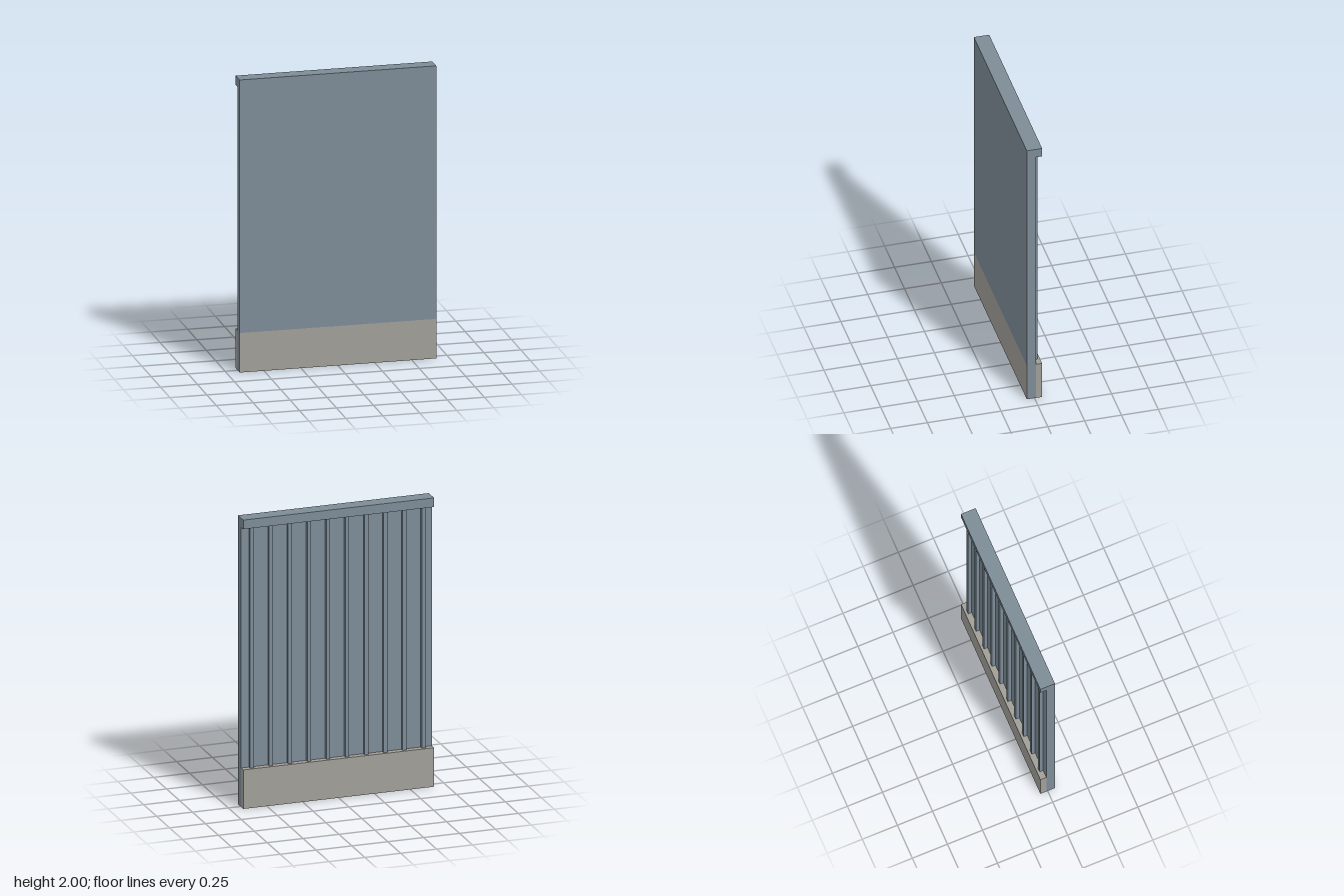
import * as THREE from 'three';

export function createModel() {
  const group = new THREE.Group();
  const slate = new THREE.MeshStandardMaterial({ color: 0x7d8c97 });
  slate.name = 'slate blue cladding';
  const stone = new THREE.MeshStandardMaterial({ color: 0xa19f98 });
  stone.name = 'warm grey plinth';

  const W = 1.33, FRONT = 0.052, BACK = -0.052;
  const PANEL_BACK = -0.01, PLINTH = 0.27, CAP = 1.937;

  // Box given by its extents in y and z
  function slab(name, material, width, y0, y1, z0, z1, x = 0) {
    const mesh = new THREE.Mesh(new THREE.BoxGeometry(width, y1 - y0, z1 - z0), material);
    mesh.position.set(x, (y0 + y1) / 2, (z0 + z1) / 2);
    mesh.name = name;
    group.add(mesh);
  }

  // Wall sheet, with its lower front set back for the plinth facing
  slab('wallPanel', slate, W, PLINTH, 2, PANEL_BACK, FRONT);
  slab('wallPanelFoot', slate, W, 0, PLINTH, PANEL_BACK, FRONT - 0.002);

  // Plinth: thin facing on the front, thick board on the back
  slab('plinthFacing', stone, W, 0, PLINTH, FRONT - 0.002, FRONT);
  slab('plinthBoard', stone, W, 0, PLINTH, BACK, PANEL_BACK);

  // Top rail overhanging the back
  slab('topRail', slate, W, CAP, 2, BACK, PANEL_BACK);

  // Vertical battens on the back
  const count = 10, pitch = W / count;
  for (let i = 0; i < count; i++) {
    slab('batten' + (i + 1), slate, 0.026, PLINTH, CAP, -0.035, PANEL_BACK, (i - (count - 1) / 2) * pitch);
  }
  return group;
}
